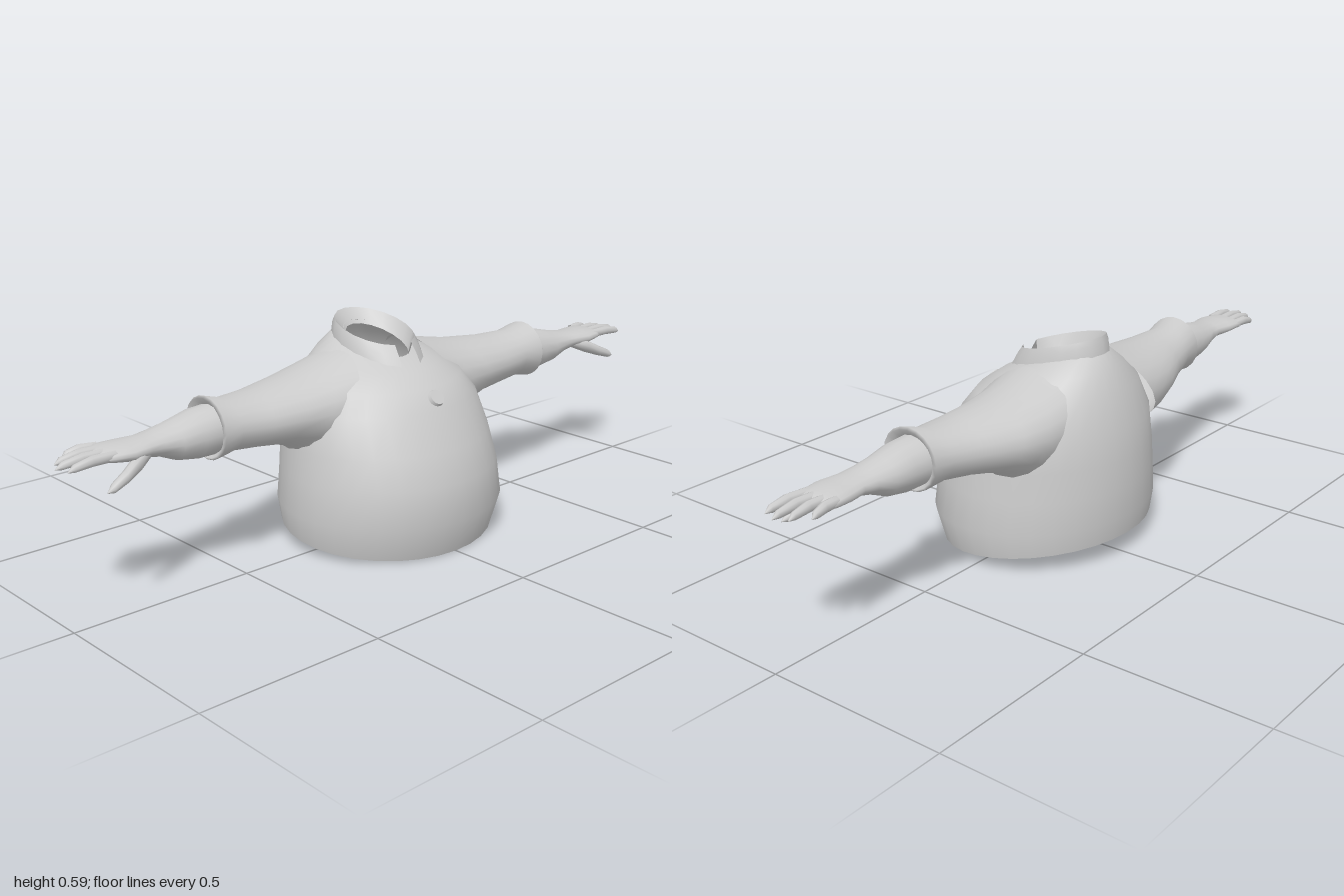
import * as THREE from 'three';
import { toCreasedNormals } from 'three/addons/utils/BufferGeometryUtils.js';

const TAU = Math.PI * 2;
const lerp = THREE.MathUtils.lerp;
const material = new THREE.MeshStandardMaterial({ color: 0xcccccc, side: THREE.DoubleSide });

// Skin a list of equally sized point rings.
function loft(rings, closed = true) {
  const n = rings[0].length, index = [];
  for (let i = 0; i < rings.length - 1; i++) {
    for (let j = 0; j < (closed ? n : n - 1); j++) {
      const k = (j + 1) % n;
      const a = i * n + j, b = i * n + k, c = b + n, d = a + n;
      index.push(a, b, c, a, c, d);
    }
  }
  const geometry = new THREE.BufferGeometry();
  geometry.setAttribute('position', new THREE.Float32BufferAttribute(rings.flat(2), 3));
  geometry.setIndex(index);
  geometry.computeVertexNormals();
  return geometry;
}

function mirrored(geometry) {
  const copy = geometry.clone().scale(-1, 1, 1);
  const id = copy.index.array;
  for (let i = 0; i < id.length; i += 3) [id[i], id[i + 1]] = [id[i + 1], id[i]];
  copy.computeVertexNormals();
  return copy;
}

// Tilted oval around the body: front and back heights, half width, front and back depth.
function bodyRing([yFront, yBack, halfWidth, zFront, zBack], n, gap = 0) {
  const count = gap ? n + 1 : n;
  return Array.from({ length: count }, (_, j) => {
    const a = gap + (j / n) * (TAU - 2 * gap), t = (1 - Math.cos(a)) / 2;
    return [halfWidth * Math.sin(a), lerp(yFront, yBack, t), lerp(zFront, zBack, t)];
  });
}

// Oval across the arm: x at top and bottom, height range, depth range.
function armRing([xTop, xBottom, yTop, yBottom, zBack, zFront], n) {
  return Array.from({ length: n }, (_, j) => {
    const a = (j / n) * TAU, t = (1 - Math.cos(a)) / 2;
    return [lerp(xTop, xBottom, t), lerp(yTop, yBottom, t), lerp(zBack, zFront, (1 + Math.sin(a)) / 2)];
  });
}

// Finger: tapered rings along a path of [x, y, z, radius].
const finger = (path) => loft(path.map(([x, y, z, r]) => armRing([x, x, y + r, y - r, z - r, z + r], 8)));

export function createModel() {
  const model = new THREE.Group();
  model.name = 'shirtTorso';
  const add = (name, geometry, parent = model) => {
    const mesh = new THREE.Mesh(geometry, material);
    mesh.name = name;
    parent.add(mesh);
    return mesh;
  };

  // Round body, open at the hem and the neck
  add('body', loft([
    [0.0, 0.062, 0.31, 0.26, -0.28],
    [0.095, 0.12, 0.325, 0.29, -0.288],
    [0.2, 0.2, 0.312, 0.28, -0.288],
    [0.28, 0.28, 0.302, 0.25, -0.283],
    [0.38, 0.36, 0.285, 0.2, -0.272],
    [0.43, 0.45, 0.24, 0.16, -0.245],
    [0.465, 0.51, 0.17, 0.11, -0.215],
    [0.485, 0.55, 0.115, 0.075, -0.185],
    [0.495, 0.56, 0.08, 0.05, -0.155],
  ].map((r) => bodyRing(r, 32))));

  // Folded collar with an open front
  add('collar', toCreasedNormals(loft([
    [0.485, 0.55, 0.073, 0.05, -0.15],
    [0.53, 0.59, 0.098, 0.058, -0.182],
    [0.505, 0.575, 0.106, 0.075, -0.188],
    [0.47, 0.545, 0.112, 0.095, -0.192],
  ].map((r) => bodyRing(r, 16, 0.3)), false), 0.7));

  // Button on the chest
  const button = add('button', new THREE.CylinderGeometry(0.021, 0.025, 0.012, 20));
  button.position.set(0, 0.408, 0.18);
  button.rotation.x = 0.9;

  // Sleeve blends into the shoulder and ends in a turned-in cuff
  const sleeve = loft([
    [0.12, 0.285, 0.515, 0.265, -0.215, 0.08],
    [0.2, 0.315, 0.492, 0.287, -0.213, 0.068],
    [0.3, 0.37, 0.473, 0.308, -0.195, 0.06],
    [0.42, 0.44, 0.464, 0.32, -0.158, 0.05],
    [0.52, 0.52, 0.464, 0.328, -0.13, 0.036],
    [0.578, 0.578, 0.482, 0.318, -0.125, 0.045],
    [0.584, 0.584, 0.476, 0.324, -0.12, 0.04],
    [0.565, 0.565, 0.455, 0.34, -0.1, 0.025],
  ].map((r) => armRing(r, 20)));

  // Forearm narrows to the wrist and flattens into the palm
  const forearm = loft([
    [0.55, 0.55, 0.46, 0.332, -0.11, 0.028],
    [0.62, 0.62, 0.455, 0.332, -0.108, 0.026],
    [0.68, 0.68, 0.44, 0.342, -0.1, 0.02],
    [0.73, 0.73, 0.43, 0.364, -0.09, 0.016],
    [0.77, 0.77, 0.424, 0.374, -0.085, 0.018],
    [0.82, 0.82, 0.423, 0.376, -0.096, 0.028],
    [0.87, 0.87, 0.42, 0.383, -0.102, 0.02],
    [0.89, 0.89, 0.412, 0.39, -0.096, 0.012],
    [0.893, 0.893, 0.402, 0.402, -0.045, -0.045],
  ].map((r) => armRing(r, 16)));

  // Four fingers: knuckle z, tip z, tip x
  const fingers = [
    [-0.085, -0.097, 0.945], [-0.057, -0.064, 0.983], [-0.028, -0.03, 1.0], [0.001, 0.006, 0.988],
  ].map(([z0, z1, tip]) => finger([
    [0.86, 0.404, z0, 0.013],
    [lerp(0.86, tip, 0.5), 0.406, lerp(z0, z1, 0.5), 0.0135],
    [lerp(0.86, tip, 0.87), 0.4, lerp(z0, z1, 0.87), 0.01],
    [tip, 0.394, z1, 0.001],
  ]));

  // Thumb points forward and down
  const thumb = finger([
    [0.765, 0.39, -0.005, 0.012], [0.81, 0.378, 0.014, 0.02],
    [0.855, 0.358, 0.03, 0.016], [0.895, 0.343, 0.04, 0.012], [0.912, 0.336, 0.043, 0.001],
  ]);

  for (const side of ['left', 'right']) {
    const arm = new THREE.Group();
    arm.name = side + 'Arm';
    const place = (name, g) => add(side + name, side === 'left' ? g : mirrored(g), arm);
    place('Sleeve', sleeve);
    place('ForearmAndPalm', forearm);
    fingers.forEach((g, i) => place('Finger' + (i + 1), g));
    place('Thumb', thumb);
    model.add(arm);
  }
  return model;
}
